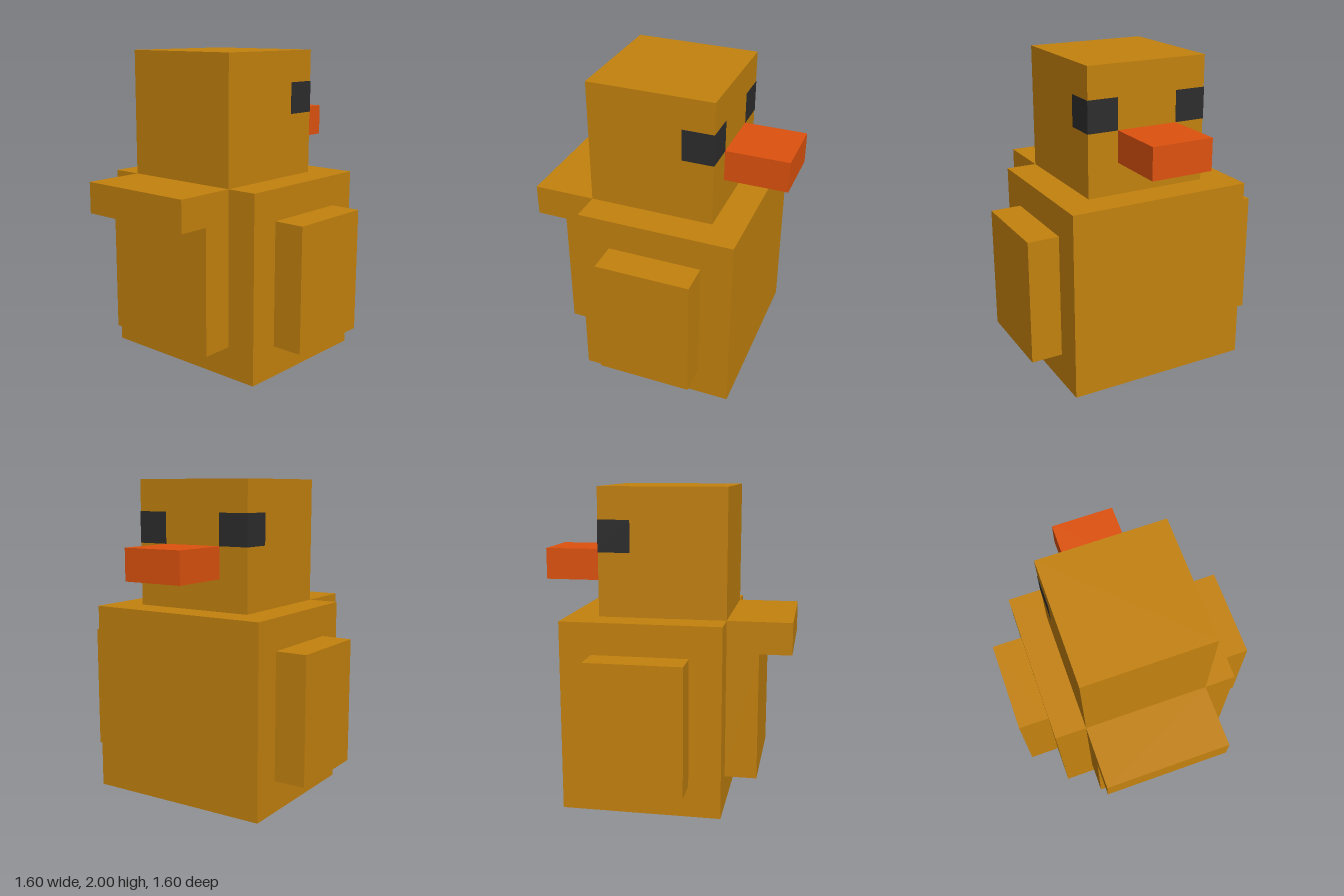
import * as THREE from 'three';

const material = (color) => new THREE.MeshStandardMaterial({ color });

export function createModel() {
  const model = new THREE.Group();
  model.name = 'blockBird';

  const plumage = material(0xc4820e);
  const orange = material(0xde520e);
  const dark = material(0x2d2d2d);

  // Box given by its extents along each axis
  function addBox(name, [x0, x1], [y0, y1], [z0, z1], mat) {
    const mesh = new THREE.Mesh(new THREE.BoxGeometry(x1 - x0, y1 - y0, z1 - z0), mat);
    mesh.position.set((x0 + x1) / 2, (y0 + y1) / 2, (z0 + z1) / 2);
    mesh.name = name;
    model.add(mesh);
  }

  addBox('body', [-0.4, 0.6], [0, 1.2], [-0.6, 0.6], plumage);
  addBox('head', [-0.4, 0.4], [1.2, 2], [-0.4, 0.4], plumage);
  addBox('beak', [0.4, 0.8], [1.4, 1.6], [-0.2, 0.2], orange);

  // Wings and corner eyes, mirrored in z; eyes sit a hair proud of the head
  const e = 0.002;
  for (const [side, s] of [['front', 1], ['back', -1]]) {
    const span = (a, b) => (s > 0 ? [a, b] : [-b, -a]);
    addBox(side + 'Wing', [-0.2, 0.4], [0.2, 1], span(0.6, 0.8), plumage);
    addBox(side + 'Eye', [0.2, 0.4 + e], [1.6, 1.8], span(0.2, 0.4 + e), dark);
  }

  // Tail: L-shaped profile, overhanging at the top
  const profile = new THREE.Shape([
    [-0.4, 0.2], [-0.4, 1.2], [-0.8, 1.2], [-0.8, 1], [-0.6, 1], [-0.6, 0.2],
  ].map(([x, y]) => new THREE.Vector2(x, y)));
  const tail = new THREE.Mesh(
    new THREE.ExtrudeGeometry(profile, { depth: 0.8, bevelEnabled: false }), plumage);
  tail.position.z = -0.4;
  tail.name = 'tail';
  model.add(tail);

  return model;
}
